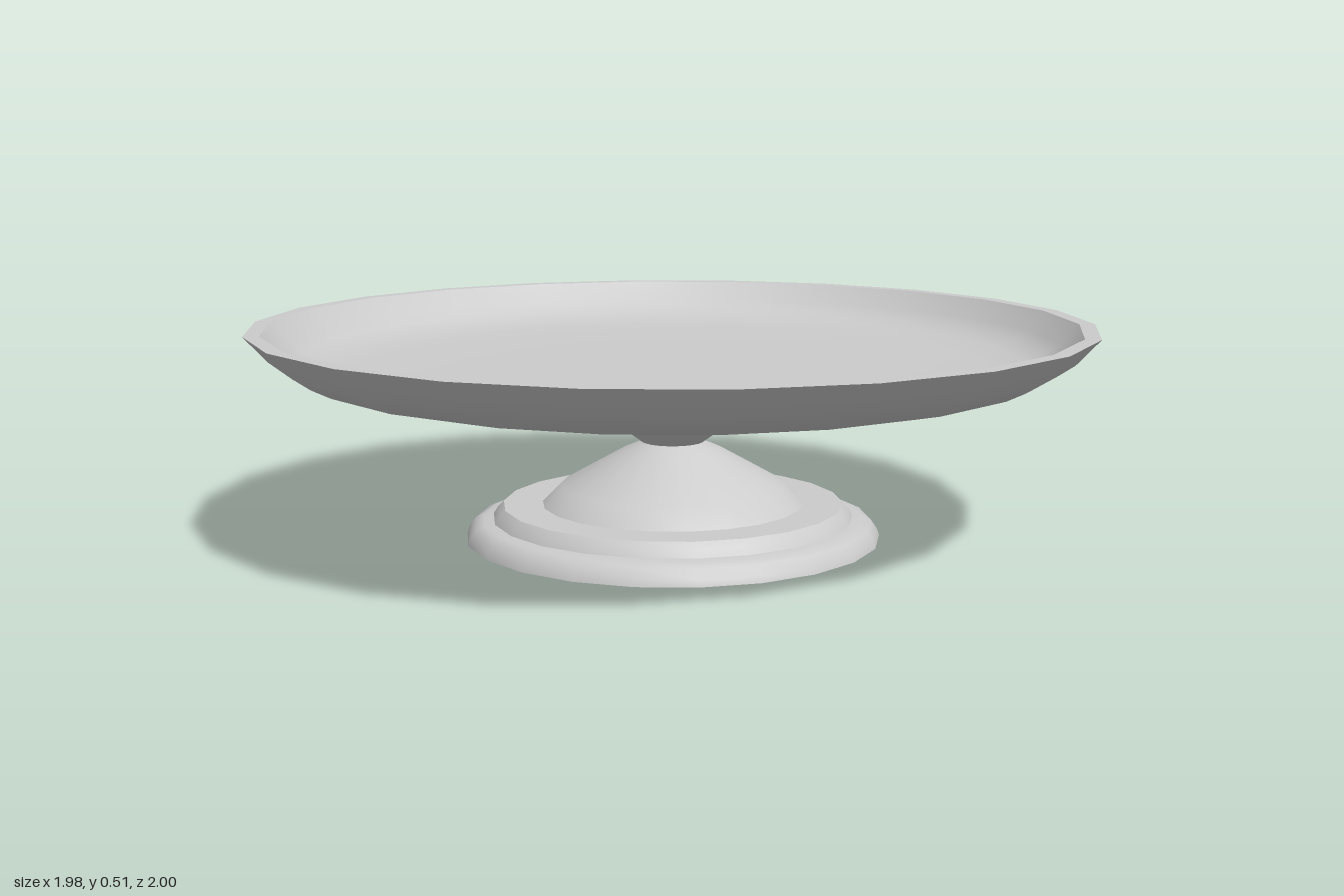
import * as THREE from 'three';

const SIDES = 22;
const material = new THREE.MeshStandardMaterial({ color: 0xcccccc, side: THREE.DoubleSide });

// One group made of lathed bands: smooth within a band, sharp between bands.
function turned(name, bands) {
  const group = new THREE.Group();
  group.name = name;
  bands.forEach((band, i) => {
    const points = band.map(([r, y]) => new THREE.Vector2(r, y));
    const mesh = new THREE.Mesh(new THREE.LatheGeometry(points, SIDES), material);
    mesh.name = `${name}Band${i + 1}`;
    group.add(mesh);
  });
  return group;
}

export function createModel() {
  const model = new THREE.Group();
  model.name = 'cakeStand';

  // Hollow stepped foot, a thin shell open at the bottom
  model.add(turned('foot', [
    [[0.5, 0], [0.495, 0.015], [0.48, 0.037], [0.46, 0.045], [0.435, 0.048]],
    [[0.435, 0.048], [0.425, 0.065], [0.41, 0.08]],
    [[0.41, 0.08], [0.315, 0.08]],
    [[0.315, 0.08], [0.27, 0.125], [0.12, 0.21], [0.085, 0.225], [0.075, 0.23]],
  ]));

  // Flared stem running into the underside of the plate
  model.add(turned('stem', [
    [[0.075, 0.23], [0.16, 0.293], [0.25, 0.358], [0.32, 0.369], [0.445, 0.381]],
  ]));

  // Plate: underside, flat rim, then the dished top
  model.add(turned('plate', [
    [[0.445, 0.381], [0.74, 0.386], [0.8, 0.392], [0.86, 0.406], [0.905, 0.428], [0.945, 0.455], [1, 0.515]],
    [[1, 0.515], [0.963, 0.515]],
    [[0.963, 0.515], [0.92, 0.468], [0.885, 0.445], [0.84, 0.428], [0.74, 0.415], [0.445, 0.412], [0, 0.412]],
  ]));

  return model;
}
